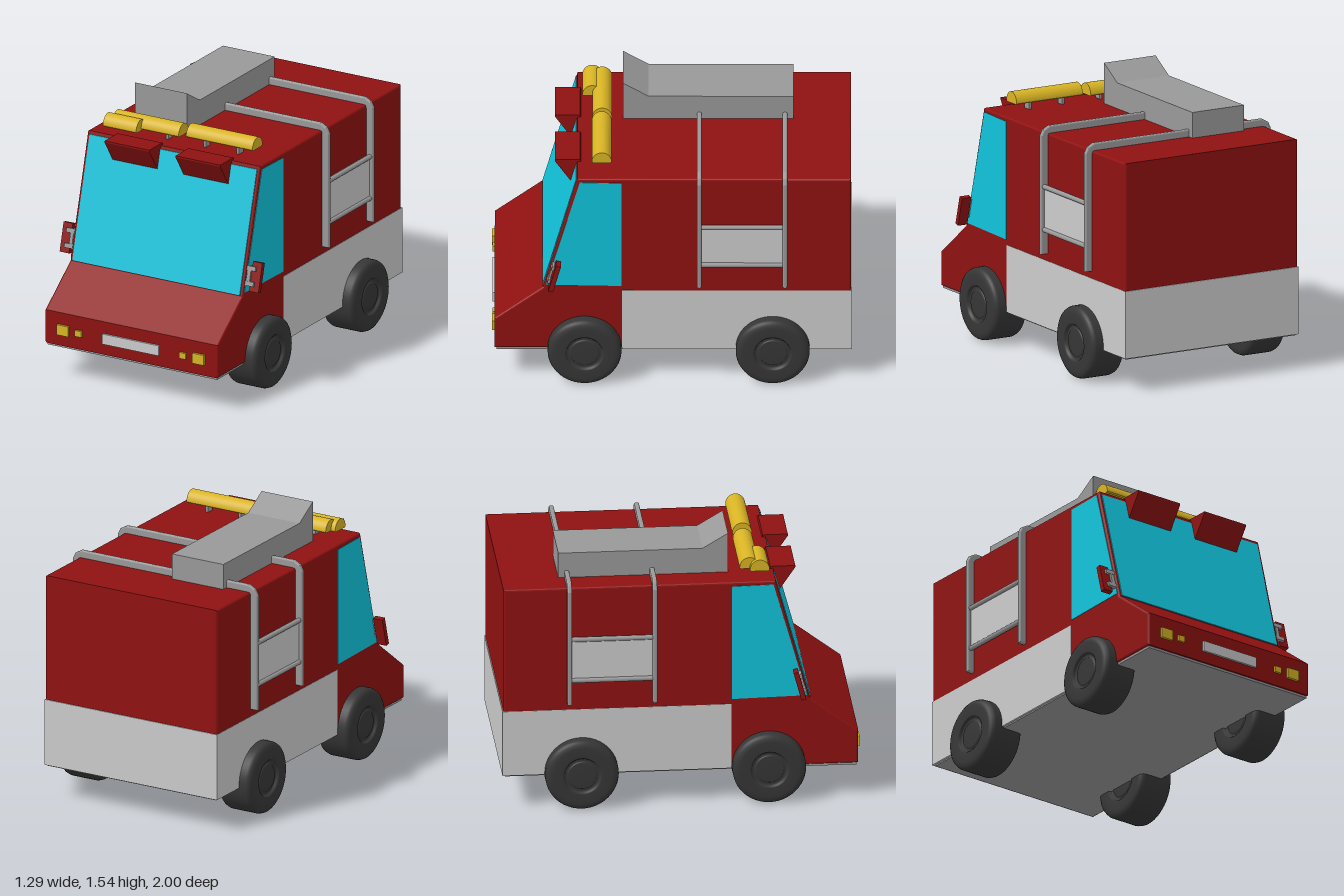
import * as THREE from 'three';

const paint = (color) => new THREE.MeshStandardMaterial({ color });
const RED = paint(0x8f1111), GLASS = paint(0x11c4dc), YELLOW = paint(0xd8b424);
const GREY = paint(0xcccccc), STEEL = paint(0x999999), RUBBER = paint(0x363636);

export function createModel() {
  const model = new THREE.Group();

  const add = (name, geometry, material, x = 0, y = 0, z = 0, parent = model) => {
    const mesh = new THREE.Mesh(geometry, material);
    mesh.name = name;
    mesh.position.set(x, y, z);
    parent.add(mesh);
    return mesh;
  };
  const box = (name, w, h, d, material, x, y, z, parent) =>
    add(name, new THREE.BoxGeometry(w, h, d), material, x, y, z, parent);

  const extrude = (points, depth, bevel) => {
    const shape = new THREE.Shape(points.map(([a, b]) => new THREE.Vector2(a, b)));
    return new THREE.ExtrudeGeometry(shape, {
      depth: depth - 2 * bevel, bevelEnabled: bevel > 0, bevelSize: bevel,
      bevelThickness: bevel, bevelOffset: -bevel, bevelSegments: 3,
    }).translate(0, 0, -(depth - 2 * bevel) / 2);
  };
  // Side outline given as [z, y], drawn out across the width x
  const sideProfile = (points, width, bevel = 0) =>
    extrude(points, width, bevel).rotateY(-Math.PI / 2);

  // Body shell, lower skirt and floor
  add('body', sideProfile([
    [-0.995, 0.2], [0.985, 0.2], [0.985, 0.395], [0.715, 0.6], [0.525, 1.31], [-0.995, 1.31],
  ], 1.12, 0.012), RED);
  box('lowerSkirt', 1.124, 0.385, 1.278, GREY, 0, 0.3875, -0.361);
  box('floor', 1.1, 0.02, 1.96, STEEL, 0, 0.197, -0.005);

  // Glass
  add('windshield', sideProfile([
    [0.7, 0.605], [0.72, 0.605], [0.534, 1.292], [0.514, 1.292],
  ], 1.085), GLASS);
  add('sideWindows', sideProfile([
    [0.28, 0.61], [0.7, 0.618], [0.512, 1.29], [0.28, 1.285],
  ], 1.126), GLASS);

  // Sun visors
  for (const x of [-0.23, 0.23]) {
    add('sunVisor', sideProfile([[0.5, 1.3], [0.55, 1.165], [0.65, 1.312], [0.65, 1.322], [0.51, 1.322]], 0.29), RED, x);
  }

  // Front lamps and plate
  for (const s of [-1, 1]) {
    box('headlight', 0.075, 0.06, 0.03, YELLOW, s * 0.44, 0.295, 0.985);
    box('smallLamp', 0.042, 0.035, 0.03, YELLOW, s * 0.338, 0.295, 0.983);
  }
  box('frontPlate', 0.365, 0.06, 0.03, GREY, 0, 0.295, 0.982);

  // Half-round roof light bars on posts
  const dome = [];
  for (let i = 0; i <= 20; i++) {
    const a = (i / 20) * Math.PI;
    dome.push([Math.cos(a) * 0.055, Math.sin(a) * 0.06]);
  }
  dome.push([-0.048, -0.006], [0.048, -0.006]);
  add('lightBarLeft', sideProfile(dome, 0.43), YELLOW, 0.245, 1.361, 0.39);
  add('lightBarRight', sideProfile(dome, 0.43), YELLOW, -0.235, 1.35, 0.388);
  add('smallLightBar', sideProfile(dome, 0.215), YELLOW, -0.37, 1.344, 0.443);
  for (const x of [-0.35, -0.11, 0.135, 0.35]) {
    box('lightPost', 0.016, 0.06, 0.045, STEEL, x, 1.335, 0.395);
  }

  // Roof unit with raised wedge at its front
  add('roofUnit', sideProfile([
    [-0.675, 1.305], [0.272, 1.305], [0.272, 1.542], [0.13, 1.457], [-0.675, 1.457],
  ], 0.335), STEEL, -0.237);

  // Hoops over the roof and down both sides
  const arch = (x, y, c) => [[-x, 0.62], [-x, y - c], [-x + c * 0.3, y - c * 0.4], [-x + c, y],
    [x - c, y], [x - c * 0.3, y - c * 0.4], [x, y - c], [x, 0.62]];
  const hoop = extrude([...arch(0.602, 1.352, 0.055), ...arch(0.556, 1.305, 0.02).reverse()], 0.026, 0.008);
  for (const z of [-0.152, -0.628]) add('roofHoop', hoop, STEEL, 0, 0, z);

  // Panels and rails between the hoops
  const rail = new THREE.CylinderGeometry(0.014, 0.014, 0.476, 12).rotateX(Math.PI / 2);
  for (const s of [-1, 1]) {
    box('sidePanel', 0.025, 0.245, 0.46, GREY, s * 0.57, 0.888, -0.39);
    for (const y of [0.762, 1.008]) add('panelRail', rail, STEEL, s * 0.583, y, -0.39);
  }

  // Mirrors leaning with the windshield, each on a bracket
  for (const s of [-1, 1]) {
    const mirror = new THREE.Group();
    mirror.name = 'mirror';
    mirror.position.set(s * 0.6, 0.705, 0.652);
    mirror.rotation.x = -0.26;
    model.add(mirror);
    box('mirrorHousing', 0.06, 0.17, 0.028, RED, s * 0.014, 0, 0, mirror);
    box('mirrorStem', 0.02, 0.11, 0.02, STEEL, s * -0.025, 0, 0.016, mirror);
    for (const y of [-0.042, 0.045]) {
      box('mirrorArm', 0.062, 0.026, 0.02, STEEL, s * -0.018, y, 0.018, mirror);
    }
  }

  // Wheels: rounded tyre with a grooved hub, turned about x
  const half = [[0.0, 0.098], [0.076, 0.098], [0.08, 0.094], [0.084, 0.09], [0.096, 0.09],
    [0.1, 0.094], [0.104, 0.104], [0.11, 0.108], [0.165, 0.108], [0.185, 0.104], [0.199, 0.094], [0.205, 0.078]];
  const section = [...half.map(([r, h]) => [r, -h]), ...half.slice().reverse()];
  const tyre = new THREE.LatheGeometry(section.map(([r, h]) => new THREE.Vector2(r, h)), 48)
    .rotateZ(-Math.PI / 2);
  for (const s of [-1, 1]) {
    for (const z of [0.485, -0.56]) add('wheel', tyre, RUBBER, s * 0.524, 0.205, z);
  }

  return model;
}
